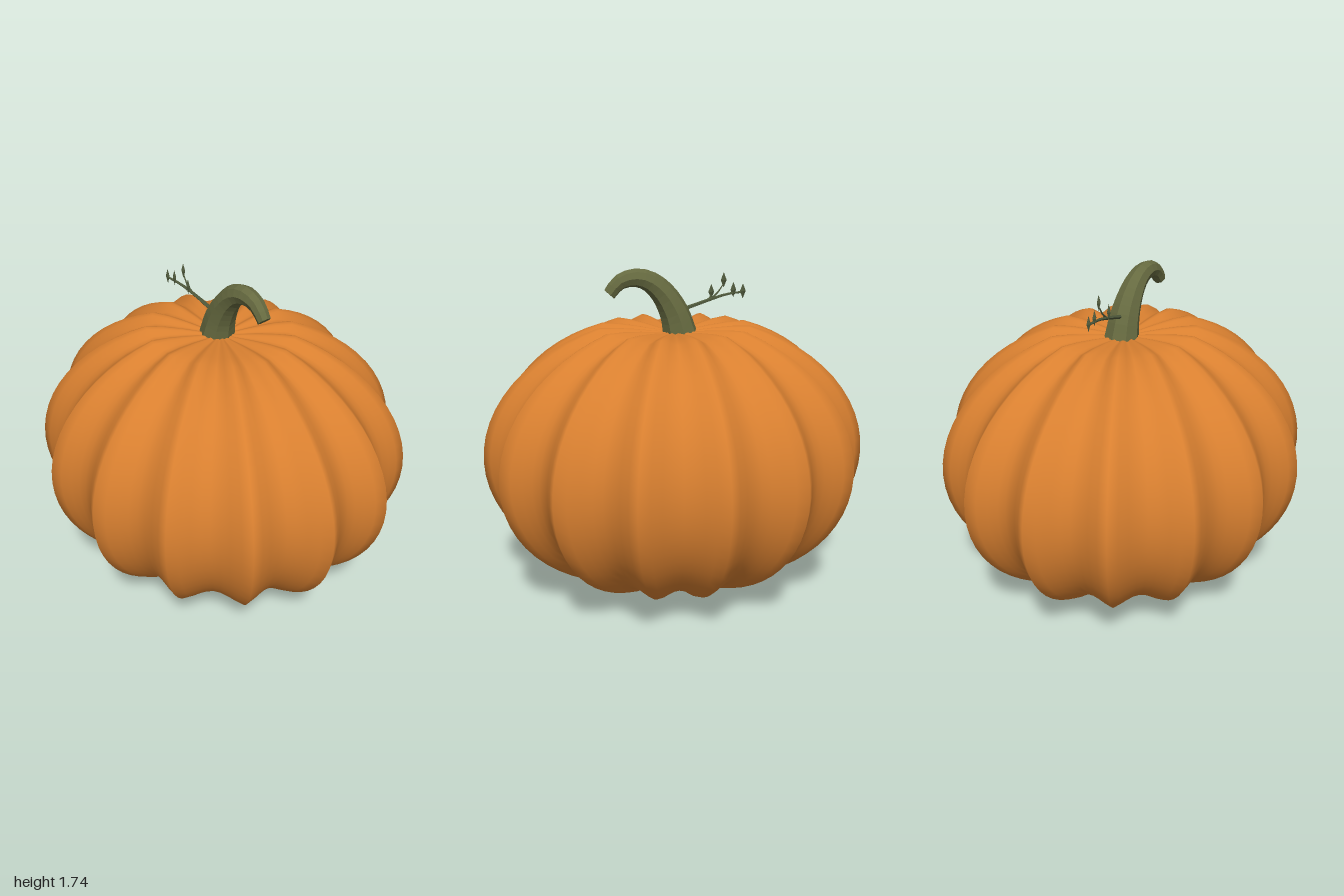
import * as THREE from 'three';

const mat = (name, color, side = THREE.FrontSide) => {
  const m = new THREE.MeshStandardMaterial({ color, side });
  m.name = name;
  return m;
};

const RIBS = 15, STEPS = 8;

// Ribbed shell: a flattened ellipsoid profile swept around, with scalloped grooves
function shellGeometry() {
  const profile = [[0, 0], [0.016, 0.022], [0.035, 0.043], [0.13, 0.046], [0.27, 0.056]];
  for (let i = 0; i <= 24; i++) {
    const a = THREE.MathUtils.degToRad(-67 + (134 * i) / 24);
    profile.push([Math.cos(a), 0.757 + 0.74 * Math.sin(a)]);
  }
  profile.push([0.3, 1.437], [0.2, 1.428], [0.1, 1.415], [0, 1.405]);

  const cols = RIBS * STEPS, pos = [], index = [];
  profile.forEach(([r, y]) => {
    // ridges are sharp around the belly and soften towards the poles
    const sharp = THREE.MathUtils.smoothstep(r, 0.35, 0.75);
    const power = 2 - 0.85 * sharp;
    const vertical = Math.sign(y - 0.757) * (1 - sharp * 0.5) * Math.min(r / 0.4, 1) * Math.sqrt(Math.max(0, 1 - r * r));
    for (let j = 0; j < cols; j++) {
      const a = (j / cols) * Math.PI * 2;
      const groove = Math.pow(Math.abs(Math.sin((j / STEPS) * Math.PI)), power);
      const rr = r * (1 - 0.105 * groove);
      pos.push(1.005 * rr * Math.sin(a), y - 0.035 * vertical * groove, -0.92 * rr * Math.cos(a));
    }
  });
  for (let i = 0; i < profile.length - 1; i++) {
    for (let j = 0; j < cols; j++) {
      const k = (j + 1) % cols;
      const a = i * cols + j, b = i * cols + k, c = a + cols, d = b + cols;
      if (i < profile.length - 2) index.push(a, c, d);
      else index.push(a, c, b);
      if (i > 0 && i < profile.length - 2) index.push(a, d, b);
    }
  }
  const g = new THREE.BufferGeometry();
  g.setAttribute('position', new THREE.Float32BufferAttribute(pos, 3));
  g.setIndex(index);
  g.computeVertexNormals();
  // pole vertices share one straight normal
  const n = g.attributes.normal, last = (profile.length - 1) * cols;
  for (let j = 0; j < cols; j++) {
    n.setXYZ(j, 0, -1, 0);
    n.setXYZ(last + j, 0, 1, 0);
  }
  return g;
}

// Faceted tube whose radius follows radiusAt(u)
function taperedTube(curve, segments, sides, radiusAt) {
  const g = new THREE.TubeGeometry(curve, segments, 1, sides);
  const p = g.attributes.position, v = new THREE.Vector3();
  for (let i = 0; i <= segments; i++) {
    const c = curve.getPointAt(i / segments), r = radiusAt(i / segments);
    for (let j = 0; j <= sides; j++) {
      const k = i * (sides + 1) + j;
      v.fromBufferAttribute(p, k).sub(c).multiplyScalar(r).add(c);
      p.setXYZ(k, v.x, v.y, v.z);
    }
  }
  const flat = g.toNonIndexed();
  flat.computeVertexNormals();
  return flat;
}

const spline = (pts) => new THREE.CatmullRomCurve3(pts.map((p) => new THREE.Vector3(...p)));

export function createModel() {
  const model = new THREE.Group();
  model.name = 'pumpkin';
  const orange = mat('orange skin', 0xd98030);
  const green = mat('stem green', 0x666a40, THREE.DoubleSide);
  const twigGreen = mat('twig green', 0x505a3c, THREE.DoubleSide);
  green.flatShading = true;
  twigGreen.flatShading = true;

  const add = (name, geometry, material, parent = model) => {
    const m = new THREE.Mesh(geometry, material);
    m.name = name;
    parent.add(m);
    return m;
  };

  add('shell', shellGeometry(), orange);

  // Hooked stem
  const stemCurve = spline([
    [-0.03, 1.39, 0], [0, 1.5, 0], [0.06, 1.605, 0], [0.13, 1.668, 0],
    [0.205, 1.69, 0], [0.285, 1.67, 0], [0.337, 1.613, 0],
  ]);
  const stemRadius = (u) => (u < 0.6 ? 0.09 - 0.065 * u : 0.051 - 0.045 * (u - 0.6));
  add('stem', taperedTube(stemCurve, 14, 8, stemRadius), green);
  const end = stemCurve.getPointAt(1);
  const cap = add('stemEnd', new THREE.CircleGeometry(stemRadius(1), 8), green);
  cap.position.copy(end);
  cap.lookAt(end.clone().add(stemCurve.getTangentAt(1)));

  // Twig with side shoots
  const twig = new THREE.Group();
  twig.name = 'twig';
  model.add(twig);
  const shoots = [
    [[-0.04, 1.515, 0.01], [-0.2, 1.558, 0.025], [-0.3, 1.58, 0.04], [-0.385, 1.585, 0.05]],
    [[-0.2, 1.558, 0.025], [-0.24, 1.59, 0.03], [-0.272, 1.635, 0.03]],
    [[-0.18, 1.553, 0.024], [-0.205, 1.57, 0.04], [-0.21, 1.585, 0.045]],
    [[-0.3, 1.58, 0.04], [-0.325, 1.585, 0.045], [-0.332, 1.595, 0.045]],
  ];
  shoots.forEach((pts, i) => {
    const r = i === 0 ? 0.011 : 0.006;
    add(i === 0 ? 'twigBranch' : 'twigShoot', taperedTube(spline(pts), 6, 5, (u) => r * (1 - 0.5 * u)), twigGreen, twig);
  });

  // Small diamond leaf buds
  const buds = [[-0.387, 1.59, 0.05], [-0.332, 1.6, 0.045], [-0.273, 1.655, 0.03], [-0.211, 1.595, 0.045]];
  buds.forEach((p) => {
    const bud = add('leafBud', new THREE.OctahedronGeometry(1), twigGreen, twig);
    bud.scale.set(0.016, 0.04, 0.01);
    bud.position.set(...p);
  });

  return model;
}
